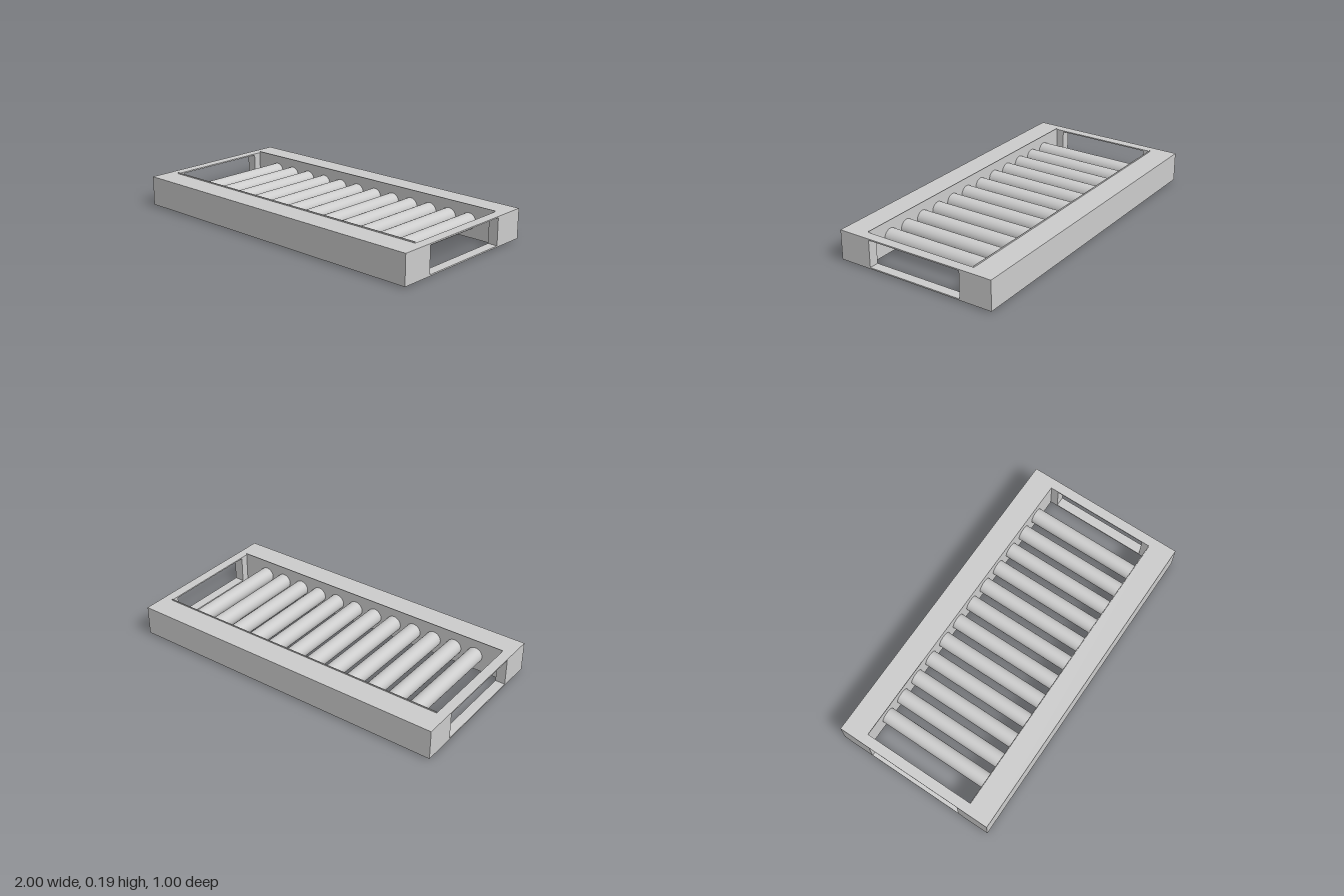
import * as THREE from 'three';

export function createModel() {
  const model = new THREE.Group();
  const grey = new THREE.MeshStandardMaterial({ color: 0xcccccc });
  const bottom = 0.008, top = 0.187, midY = (bottom + top) / 2;

  const add = (name, geometry, x, y, z, parent = model) => {
    const mesh = new THREE.Mesh(geometry, grey);
    mesh.name = name;
    mesh.position.set(x, y, z);
    parent.add(mesh);
    return mesh;
  };

  // Solid side rails with thin guide strips along their inner faces
  const rail = new THREE.BoxGeometry(2, top - bottom, 0.15);
  const strip = new THREE.BoxGeometry(1.88, 0.195, 0.003);
  for (const [side, s] of [['front', 1], ['back', -1]]) {
    add(side + 'Rail', rail, 0, midY, s * 0.425);
    add(side + 'GuideStrip', strip, 0, midY, s * 0.35);
  }

  // End walls, each a plate with a wide rectangular window
  const rect = (P, w, y0, y1) => new P([
    new THREE.Vector2(-w, y0), new THREE.Vector2(w, y0),
    new THREE.Vector2(w, y1), new THREE.Vector2(-w, y1),
  ]);
  const wall = rect(THREE.Shape, 0.35, bottom, top);
  wall.holes.push(rect(THREE.Path, 0.3, 0.016, 0.179));
  const wallGeometry = new THREE.ExtrudeGeometry(wall, { depth: 0.06, bevelEnabled: false });
  wallGeometry.rotateY(Math.PI / 2);
  add('leftEndWall', wallGeometry, 0.94, 0, 0);
  add('rightEndWall', wallGeometry, -1, 0, 0);

  // Row of rollers spanning between the rails
  const rollers = new THREE.Group();
  rollers.name = 'rollers';
  model.add(rollers);
  const roller = new THREE.CylinderGeometry(0.048, 0.048, 0.71, 40);
  roller.rotateX(Math.PI / 2);
  for (let i = 0; i < 12; i++) {
    add('roller' + (i + 1), roller, -0.77 + i * 0.14, midY, 0, rollers);
  }

  return model;
}
